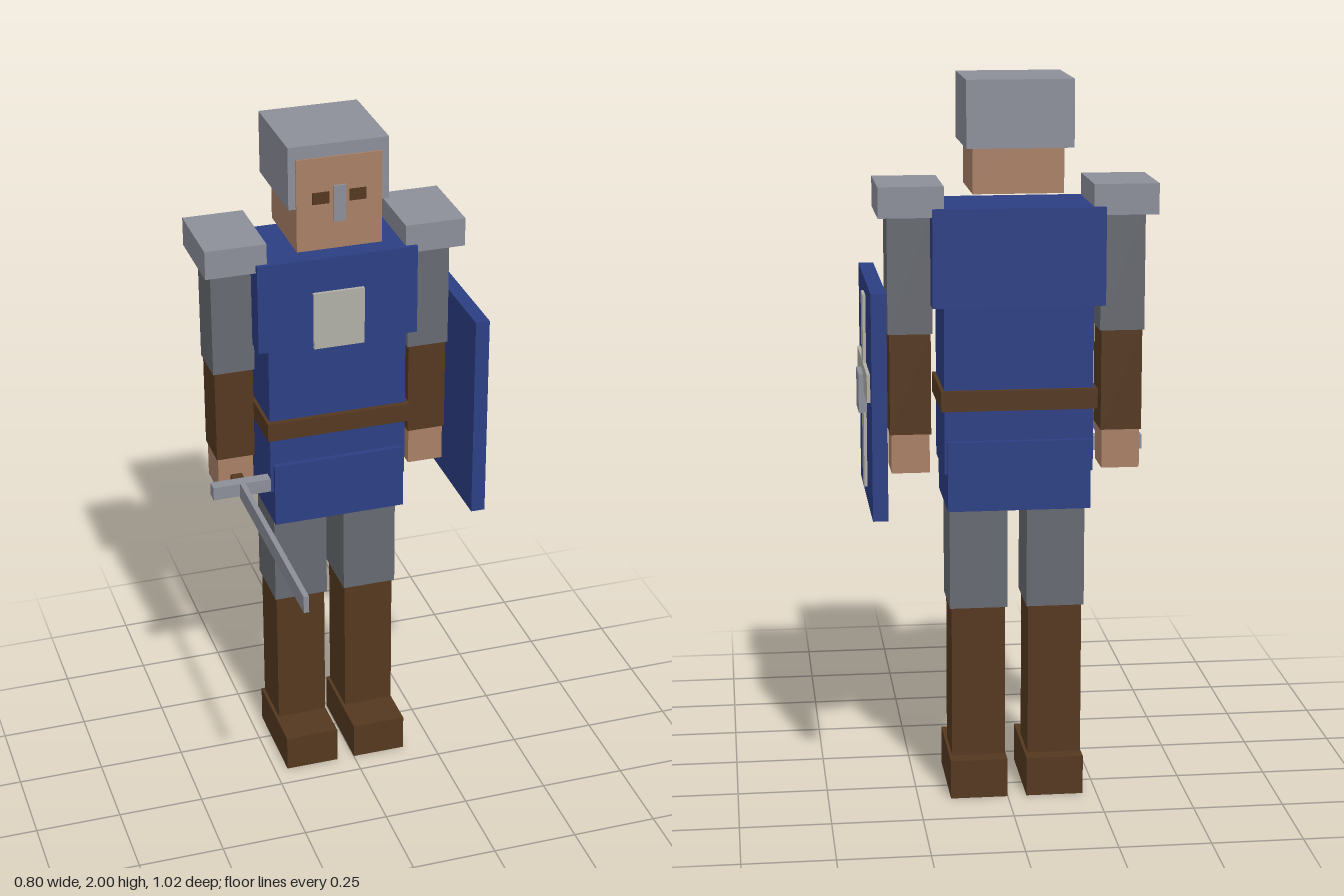
import * as THREE from 'three';

const paint = (name, color) => {
  const m = new THREE.MeshStandardMaterial({ color });
  m.name = name;
  return m;
};

export function createModel() {
  const steel = paint('steel', 0x8c8f99);
  const mail = paint('dark mail', 0x666970);
  const blue = paint('blue cloth', 0x2c3f83);
  const leather = paint('brown leather', 0x553820);
  const skin = paint('skin', 0xa98066);
  const ivory = paint('pale trim', 0xb0aea6);

  const knight = new THREE.Group();
  knight.name = 'knight';
  // The body's own middle; the sword and shield shift it off the origin
  const CX = -0.026, CZ = -0.255;

  // Box given by its limits on each axis
  const box = (parent, name, mat, [x0, x1], [y0, y1], [z0, z1]) => {
    const mesh = new THREE.Mesh(new THREE.BoxGeometry(x1 - x0, y1 - y0, z1 - z0), mat);
    mesh.position.set((x0 + x1) / 2, (y0 + y1) / 2, (z0 + z1) / 2);
    mesh.name = name;
    parent.add(mesh);
    return mesh;
  };
  const group = (name, x = 0, z = 0) => {
    const g = new THREE.Group();
    g.name = name;
    g.position.set(x, 0, z);
    knight.add(g);
    return g;
  };
  const span = (size) => [-size / 2, size / 2];

  // Head and helmet
  const head = group('head', CX, CZ);
  box(head, 'face', skin, span(0.244), [1.695, 1.963], [-0.101, 0.147]);
  box(head, 'helmet', steel, span(0.286), [1.82, 2.0], [-0.144, 0.142]);
  box(head, 'noseGuard', steel, span(0.034), [1.775, 1.88], [0.135, 0.153]);
  for (const s of [-1, 1])
    box(head, s < 0 ? 'rightEye' : 'leftEye', leather,
      [s * 0.053 - 0.024, s * 0.053 + 0.024], [1.83, 1.864], [0.143, 0.15]);

  // Torso
  const torso = group('torso', CX, CZ);
  box(torso, 'chest', blue, span(0.465), [1.395, 1.66], span(0.266));
  box(torso, 'waist', blue, span(0.404), [0.94, 1.42], span(0.244));
  box(torso, 'tunicSkirt', blue, span(0.388), [0.838, 1.03], span(0.274));
  box(torso, 'belt', leather, span(0.423), [1.115, 1.17], span(0.276));
  box(torso, 'chestEmblem', ivory, span(0.148), [1.39, 1.56], [0.13, 0.143]);

  // Arms and legs, one set per side
  for (const s of [-1, 1]) {
    const side = s < 0 ? 'right' : 'left';
    const arm = group(side + 'Arm', CX + s * 0.288, CZ);
    box(arm, 'shoulderPlate', steel, span(0.175), [1.637, 1.72], span(0.243));
    box(arm, 'upperArm', mail, span(0.121), [1.315, 1.65], span(0.135));
    box(arm, 'forearm', leather, span(0.112), [1.038, 1.317], span(0.125));
    box(arm, 'hand', skin, span(0.104), [0.93, 1.04], span(0.115));

    const leg = group(side + 'Leg', CX + s * 0.106, CZ);
    box(leg, 'thigh', mail, span(0.159), [0.55, 0.85], span(0.177));
    box(leg, 'boot', leather, span(0.148), [0.12, 0.552], span(0.157));
    box(leg, 'foot', leather, span(0.159), [0, 0.11], [-0.098, 0.186]);
  }

  // Sword pointing forward from the right hand
  const sword = group('sword', -0.314);
  box(sword, 'blade', steel, span(0.015), [0.94, 0.99], [-0.128, 0.51]);
  box(sword, 'crossguard', steel, span(0.17), [0.945, 0.985], [-0.165, -0.13]);
  box(sword, 'grip', leather, span(0.034), [0.948, 0.982], [-0.27, -0.165]);

  // Shield on the left arm
  const shield = group('shield', 0, CZ);
  box(shield, 'shieldBoard', blue, [0.338, 0.379], [0.85, 1.46], span(0.512));
  box(shield, 'crossUpright', ivory, [0.376, 0.387], [0.89, 1.42], span(0.075));
  box(shield, 'crossBar', ivory, [0.376, 0.388], [1.16, 1.235], span(0.404));
  box(shield, 'shieldBoss', steel, [0.376, 0.401], [1.1, 1.207], span(0.103));

  return knight;
}
